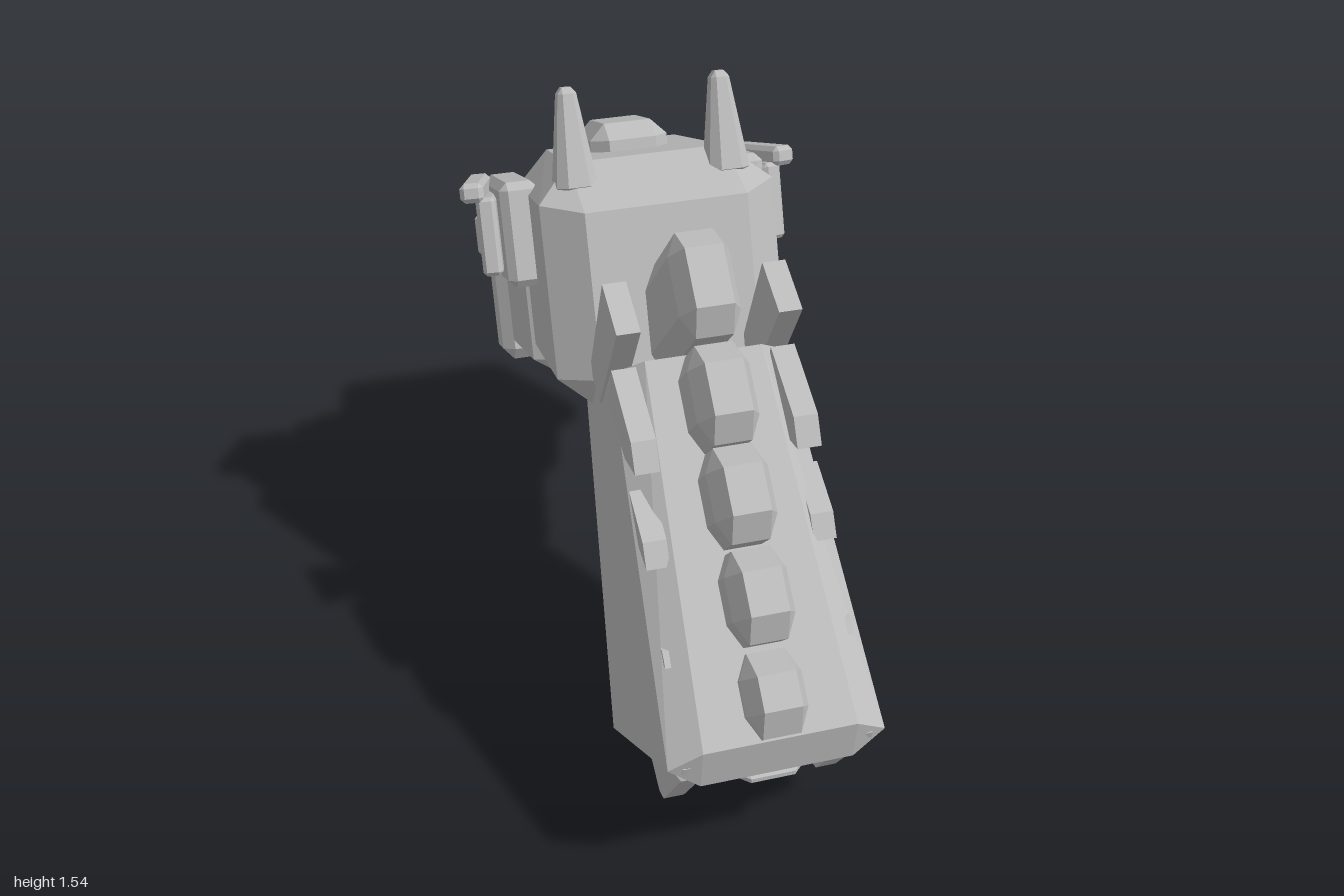
import * as THREE from 'three';
import { ConvexGeometry } from 'three/addons/geometries/ConvexGeometry.js';

const grey = new THREE.MeshStandardMaterial({ color: 0xbcbcbc });
grey.name = 'stone grey';

const hull = (name, points) => {
  const mesh = new THREE.Mesh(new ConvexGeometry(points), grey);
  mesh.name = name;
  return mesh;
};

// Box with bevelled edges; k = bevel per axis, shape = optional vertex rule
function block(name, size, k, pos, shape) {
  const h = size.map((s) => s / 2);
  const points = [];
  for (const sx of [-1, 1]) for (const sy of [-1, 1]) for (const sz of [-1, 1])
    for (let axis = 0; axis < 3; axis++) {
      const c = h.map((v, i) => (i === axis ? v : v - k[i]));
      const p = new THREE.Vector3(c[0] * sx, c[1] * sy, c[2] * sz);
      if (shape) shape(p);
      points.push(p);
    }
  const mesh = hull(name, points);
  mesh.position.set(...pos);
  return mesh;
}

// Thin plate: side outline of [z, y] points between two x values
const plate = (name, outline, x0, x1) => hull(name,
  outline.flatMap(([z, y]) => [new THREE.Vector3(x0, y, z), new THREE.Vector3(x1, y, z)]));

function createHead() {
  const head = new THREE.Group();
  head.name = 'head';
  head.position.set(0, 1.022, -0.197);
  head.rotation.x = -THREE.MathUtils.degToRad(20);

  // Skull, wider at the neck, with a larger bevel at the crown
  head.add(block('skull', [0.55, 0.595, 0.63], [0.09, 0.085, 0.085], [0, 0, 0], (p) => {
    p.x *= 1 + 0.26 * p.z;
    if (p.y > 0.29 && p.z > 0) p.z -= 0.075;
    if (p.z > 0.31 && p.y > 0) p.y -= 0.02;
  }));
  head.add(block('muzzle', [0.5, 0.404, 0.41], [0.065, 0.045, 0.05], [0, -0.122, -0.496]));
  head.add(block('nose', [0.545, 0.4, 0.15], [0.03, 0.035, 0.035], [0, -0.151, -0.766]));
  head.add(block('forelock', [0.2, 0.16, 0.25], [0.04, 0.04, 0.045], [0, 0.285, -0.1]));

  for (const s of [-1, 1]) {
    head.add(block('nostril', [0.075, 0.085, 0.05], [0.01, 0.01, 0.01], [s * 0.125, -0.13, -0.84]));
    head.add(block('ear', [0.105, 0.25, 0.115], [0.025, 0.015, 0.025], [s * 0.19, 0.355, 0.184], (p) => {
      const t = 0.7 - (p.y / 0.25) * 0.6;
      p.x *= t;
      p.z *= t;
    }));
    // Eye: socket, iris, pupil and brow
    head.add(block('eyeSocket', [0.1, 0.267, 0.267], [0.02, 0.02, 0.02], [s * 0.295, 0.115, -0.128]));
    const eye = new THREE.Group();
    eye.name = 'eye';
    eye.position.set(s * 0.35, 0.115, -0.128);
    eye.rotation.y = s * 0.25;
    eye.add(block('iris', [0.05, 0.2, 0.2], [0.01, 0.01, 0.01], [s * 0.005, 0, 0]));
    eye.add(block('pupil', [0.04, 0.105, 0.105], [0.01, 0.01, 0.01], [s * 0.022, 0, 0]));
    eye.add(block('brow', [0.06, 0.05, 0.23], [0.012, 0.012, 0.012], [s * 0.035, 0.115, 0]));
    head.add(eye);
  }
  return head;
}

function createNeck() {
  // Corners as [half width, z, y]
  const corners = [
    [0.18, 0.955, 0.34], [0.175, 0.48, 0.003], [0.255, 0.95, 0.4], [0.255, 0.45, 0.075],
    [0.18, 0.97, 0.45], [0.18, 0.375, 0.035],
    [0.14, 0.345, 1.08], [0.21, 0.3, 1.03], [0.14, -0.015, 0.765], [0.21, 0.05, 0.8],
  ];
  return hull('neck', corners.flatMap(([x, z, y]) =>
    [new THREE.Vector3(x, y, z), new THREE.Vector3(-x, y, z)]));
}

function createMane() {
  const mane = new THREE.Group();
  mane.name = 'mane';
  // Centre tufts up the neck: [z, y, length, rise, sunk depth]
  const tufts = [
    [0.898, 0.52, 0.19, 0.075, 0.1], [0.746, 0.672, 0.21, 0.125, 0.1],
    [0.586, 0.832, 0.22, 0.145, 0.1], [0.425, 0.992, 0.23, 0.165, 0.12],
    [0.249, 1.168, 0.25, 0.192, 0.3],
  ];
  for (const [z, y, length, rise, sunk] of tufts) {
    const tuft = new THREE.Group();
    tuft.name = 'maneTuft';
    tuft.position.set(0, y, z);
    tuft.rotation.x = Math.PI / 4;
    tuft.add(block('tuftBlock', [0.145, rise + sunk, length], [0.028, 0.06, 0.055], [0, (rise - sunk) / 2, 0]));
    mane.add(tuft);
  }
  mane.add(block('lowerTuft', [0.145, 0.035, 0.08], [0.02, 0.012, 0.02], [0, 0.297, 0.89]));

  // Side locks, shrinking down the neck
  for (const s of [-1, 1]) {
    mane.add(
      plate('sideLock', [[0.396, 1.19], [0.267, 1.25], [0.128, 0.945], [0.22, 0.9]], s * 0.162, s * 0.218),
      plate('sideLock', [[0.556, 0.92], [0.52, 0.985], [0.348, 1.07], [0.305, 0.96], [0.465, 0.905]], s * 0.162, s * 0.22),
      plate('sideLock', [[0.668, 0.738], [0.636, 0.792], [0.519, 0.852], [0.6, 0.755]], s * 0.17, s * 0.225),
      plate('sideLock', [[0.813, 0.573], [0.786, 0.6], [0.765, 0.6], [0.78, 0.572]], s * 0.19, s * 0.222),
      plate('sideLock', [[0.96, 0.405], [0.955, 0.385], [0.94, 0.385], [0.945, 0.408]], s * 0.2, s * 0.222),
      plate('lowerLock', [[0.92, 0.33], [0.775, 0.135], [0.74, 0.125], [0.663, 0.165], [0.7, 0.22]], s * 0.165, s * 0.215),
    );
  }
  return mane;
}

export function createModel() {
  const model = new THREE.Group();
  model.name = 'horseHeadBust';
  model.add(createNeck(), createHead(), createMane());
  return model;
}
